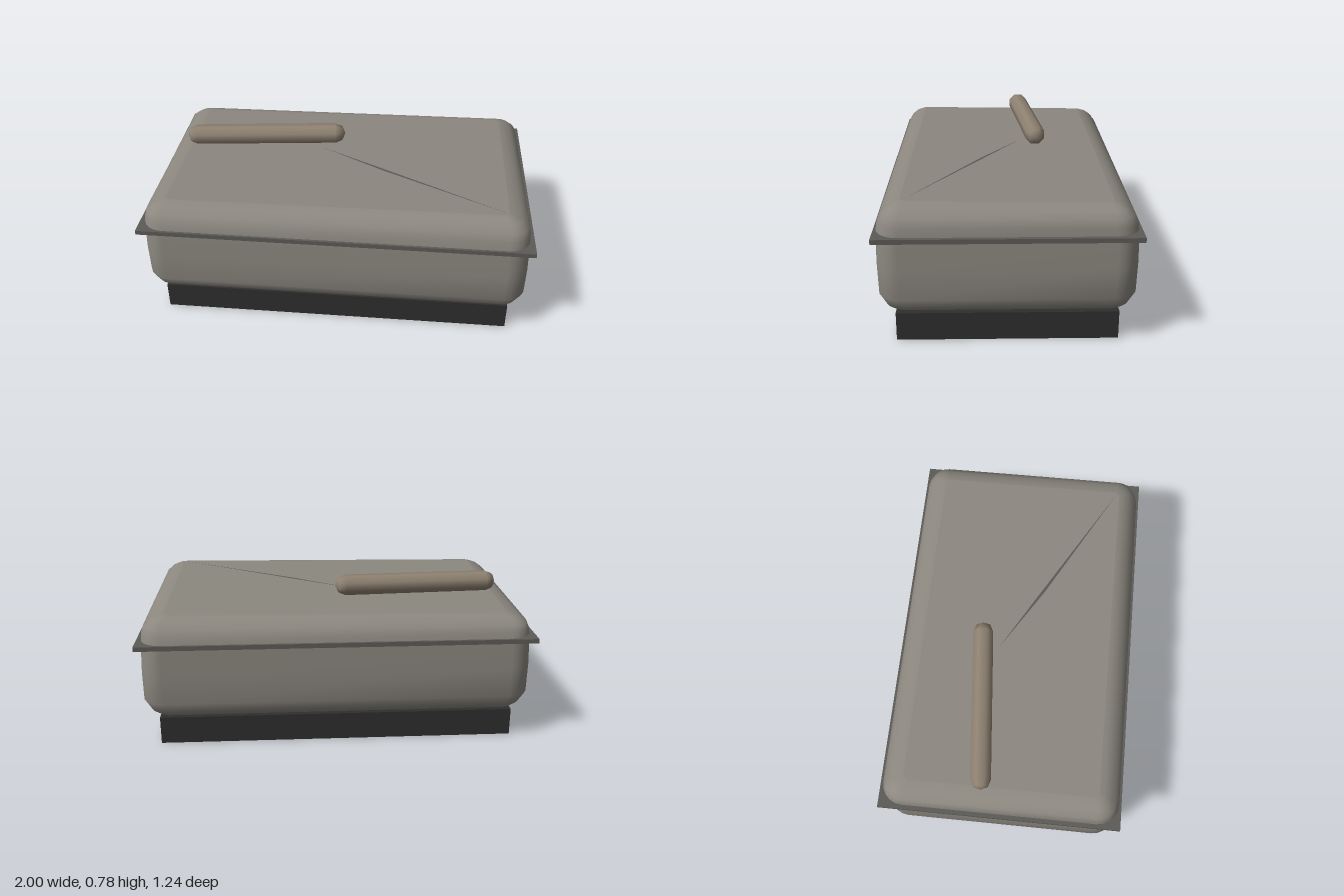
import * as THREE from 'three';

const mat = (color) => new THREE.MeshStandardMaterial({ color });

// one rounded-rectangle outline, as [x, z] pairs
function outline(hx, hz, r, steps = 5) {
  const pts = [];
  for (let c = 0; c < 4; c++) {
    const sx = c === 0 || c === 3 ? 1 : -1;
    const sz = c < 2 ? 1 : -1;
    for (let i = 0; i <= steps; i++) {
      const a = (c + i / steps) * Math.PI / 2;
      pts.push([sx * (hx - r) + r * Math.cos(a), sz * (hz - r) + r * Math.sin(a)]);
    }
  }
  return pts;
}

// the top slopes up slightly towards +x and +z
const slope = (x, y, z) => y + Math.max(0, (y - 0.56) / 0.122) * (0.01 * x + 0.015 * z);

// skin through stacked outlines [y, halfX, halfZ, cornerRadius], with separate flat caps
function loft(rings) {
  const pos = [], idx = [];
  const loops = rings.map(([y, hx, hz, r]) =>
    outline(hx, hz, r).map(([x, z]) => [x, slope(x, y, z), z]));
  const n = loops[0].length;
  loops.forEach((loop) => loop.forEach((p) => pos.push(...p)));
  for (let k = 0; k < loops.length - 1; k++) {
    for (let i = 0; i < n; i++) {
      const a = k * n + i, b = k * n + (i + 1) % n;
      idx.push(a, a + n, b, b, a + n, b + n);
    }
  }
  for (const top of [false, true]) {
    const k = top ? loops.length - 1 : 0;
    const c = pos.length / 3;
    pos.push(0, rings[k][0], 0);
    loops[k].forEach((p) => pos.push(...p));
    for (let i = 0; i < n; i++) {
      const a = c + 1 + i, b = c + 1 + (i + 1) % n;
      idx.push(c, top ? b : a, top ? a : b);
    }
  }
  const g = new THREE.BufferGeometry();
  g.setAttribute('position', new THREE.Float32BufferAttribute(pos, 3));
  g.setIndex(idx);
  g.computeVertexNormals();
  return g;
}

export function createModel() {
  const model = new THREE.Group();
  const add = (name, geometry, material, x = 0, y = 0, z = 0) => {
    const mesh = new THREE.Mesh(geometry, material);
    mesh.name = name;
    mesh.position.set(x, y, z);
    model.add(mesh);
    return mesh;
  };
  const shell = mat(0x8c8880), dark = mat(0x2e2e2e);

  // plinth and seam rim
  add('base', new THREE.BoxGeometry(1.82, 0.143, 1.064), dark, 0, 0.0715, 0);
  add('rim', new THREE.BoxGeometry(2, 0.023, 1.24), mat(0x5c5b57), 0, 0.552, 0);

  // rounded lower case
  add('lowerCase', loft([
    [0.143, 0.86, 0.49, 0.03],
    [0.16, 0.91, 0.54, 0.05],
    [0.19, 0.95, 0.575, 0.08],
    [0.25, 0.985, 0.608, 0.11],
    [0.4, 0.986, 0.612, 0.11],
    [0.552, 0.98, 0.61, 0.11],
  ]), shell);

  // domed-edge lid with a flat, slightly tilted top
  add('lid', loft([
    [0.552, 0.98, 0.61, 0.11],
    [0.6, 0.976, 0.602, 0.11],
    [0.635, 0.963, 0.582, 0.09],
    [0.662, 0.928, 0.55, 0.06],
    [0.677, 0.89, 0.52, 0.04],
    [0.682, 0.865, 0.495, 0.03],
  ]), shell);

  // narrow crease running from the handle to the front corner of the lid
  const crease = new THREE.BufferGeometry();
  const corners = [[-0.13, -0.09], [0.22, 0.13], [0.2, 0.1], [0.86, 0.485]];
  crease.setAttribute('position', new THREE.Float32BufferAttribute(
    corners.flatMap(([x, z]) => [x, slope(x, 0.684, z), z]), 3));
  crease.setIndex([0, 1, 2, 1, 3, 2]);
  crease.computeVertexNormals();
  const creaseMat = mat(0x5c5b57);
  creaseMat.side = THREE.DoubleSide;
  add('lidCrease', crease, creaseMat);

  // faceted bar handle lying across the lid
  const bar = new THREE.CapsuleGeometry(0.056, 0.772, 2, 8);
  bar.rotateY(Math.PI / 8);
  bar.rotateZ(-Math.PI / 2);
  const handle = add('handle', bar, mat(0x8f8272), -0.45, 0.724, -0.138);
  handle.rotation.set(0, 0.094, 0.012);

  return model;
}
